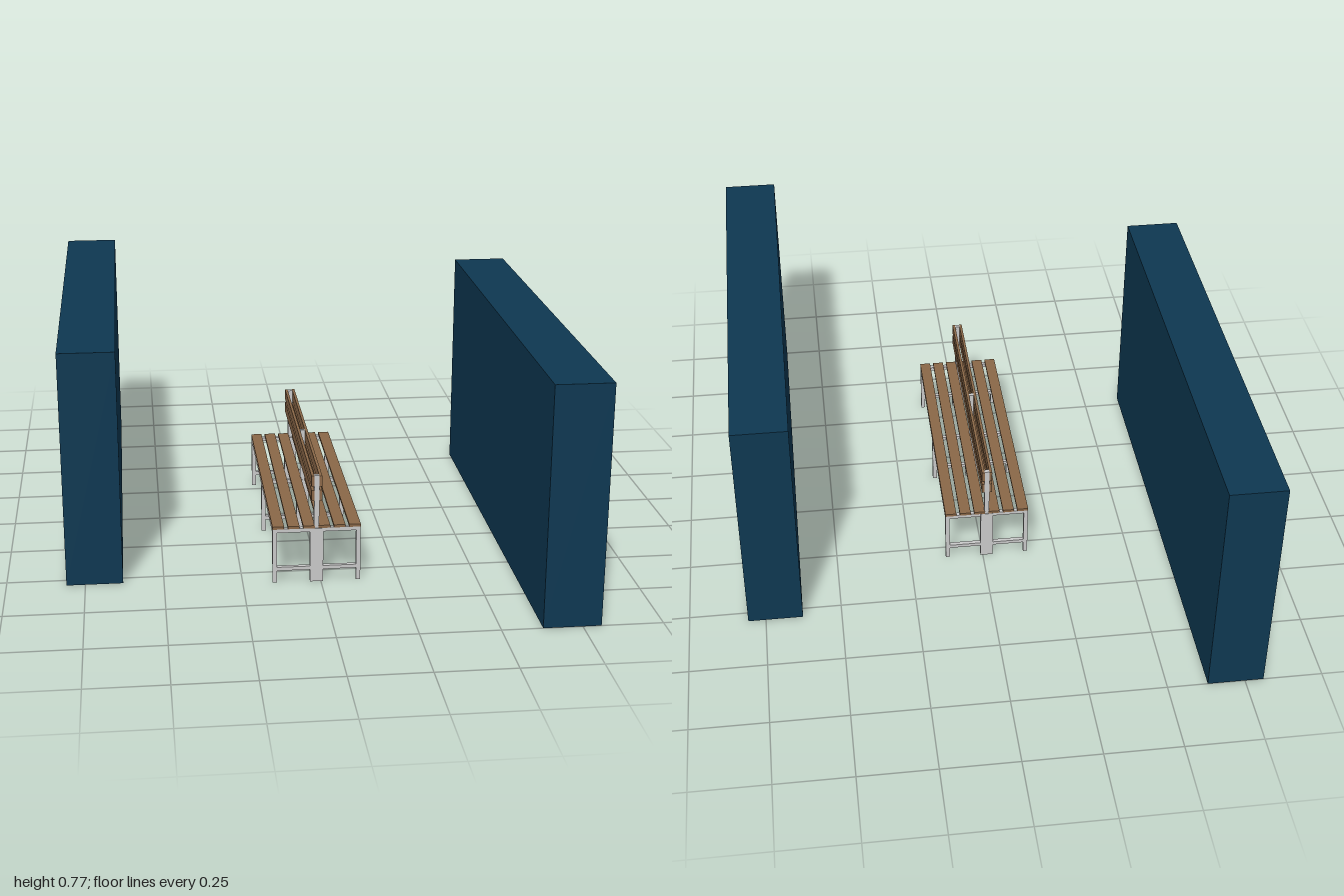
import * as THREE from 'three';

const lockerBlue = new THREE.MeshStandardMaterial({ color: 0x0e3852 });
lockerBlue.name = 'locker blue';
const wood = new THREE.MeshStandardMaterial({ color: 0x8b6848 });
wood.name = 'brown wood';
const metal = new THREE.MeshStandardMaterial({ color: 0xcacaca });
metal.name = 'grey metal';

// Box given by its lower and upper bounds on each axis
function box(parent, name, material, [x0, x1], [y0, y1], [z0, z1]) {
  const mesh = new THREE.Mesh(new THREE.BoxGeometry(x1 - x0, y1 - y0, z1 - z0), material);
  mesh.position.set((x0 + x1) / 2, (y0 + y1) / 2, (z0 + z1) / 2);
  mesh.name = name;
  parent.add(mesh);
}

// Row of ten tall lockers standing side by side
function lockerRow(name, x, z) {
  const row = new THREE.Group();
  row.name = name;
  const w = 0.154;
  for (let i = 0; i < 10; i++) {
    box(row, 'locker', lockerBlue, x, [0, 0.77], [z + i * w, z + (i + 1) * w]);
  }
  return row;
}

// One cross frame: legs, rails, centre foot and backrest post
function benchFrame(z) {
  const frame = new THREE.Group();
  frame.name = 'benchFrame';
  const t = 0.014, depth = [-t / 2, t / 2];
  for (const s of [-1, 1]) {
    const outer = s * 0.141, inner = s * (0.141 - t);
    box(frame, 'leg', metal, [Math.min(outer, inner), Math.max(outer, inner)], [0, 0.183], depth);
  }
  box(frame, 'seatRail', metal, [-0.127, 0.127], [0.17, 0.183], depth);
  box(frame, 'lowerRail', metal, [-0.127, 0.127], [0.04, 0.052], depth);
  box(frame, 'centreFoot', metal, [-0.021, 0.021], [0, 0.182], [-0.01, 0.01]);
  box(frame, 'backPost', metal, [-0.008, 0.008], [0.182, 0.36], depth);
  frame.position.z = z;
  return frame;
}

function bench() {
  const group = new THREE.Group();
  group.name = 'bench';
  const half = 0.446;
  for (const z of [-half + 0.01, 0, half - 0.01]) group.add(benchFrame(z));

  // Long rails joining the frames under the seat edges
  for (const x of [-0.134, 0.134]) {
    box(group, 'sideRail', metal, [x - 0.007, x + 0.007], [0.17, 0.183], [-half + 0.01, half - 0.01]);
  }
  // Seat slats
  for (let i = 0; i < 6; i++) {
    const x = (i - 2.5) * 0.049;
    box(group, 'seatSlat', wood, [x - 0.0185, x + 0.0185], [0.183, 0.192], [-half, half]);
  }
  // Backrest boards on both faces of the posts
  for (const x of [-0.0125, 0.0125]) {
    for (const y of [0.294, 0.342]) {
      box(group, 'backBoard', wood, [x - 0.0045, x + 0.0045], [y - 0.018, y + 0.018], [-half, half]);
    }
  }
  group.position.set(-0.0135, 0, 0.1415);
  return group;
}

export function createModel() {
  const model = new THREE.Group();
  model.name = 'changingRoom';
  model.add(lockerRow('rightLockers', [-0.81, -0.63], -1));
  model.add(lockerRow('leftLockers', [0.628, 0.808], -0.54));
  model.add(bench());
  return model;
}
